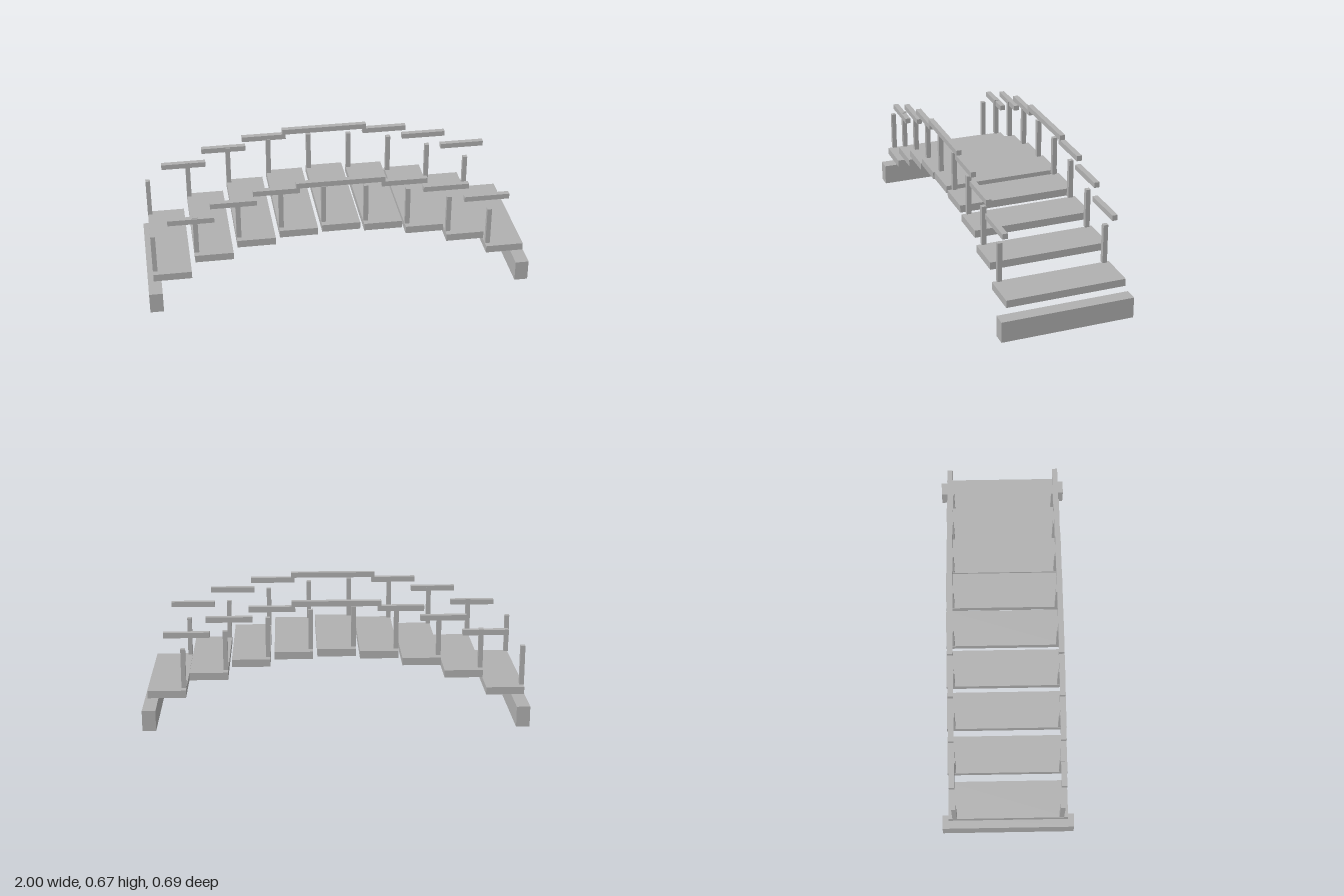
import * as THREE from 'three';

export function createModel() {
  const model = new THREE.Group();
  model.name = 'archedFootbridge';
  const grey = new THREE.MeshStandardMaterial({ color: 0xb0b0b0 });
  grey.name = 'plain grey';

  const addBox = (name, [w, h, d], x, bottom, z) => {
    const mesh = new THREE.Mesh(new THREE.BoxGeometry(w, h, d), grey);
    mesh.name = name;
    mesh.position.set(x, bottom + h / 2, z);
    model.add(mesh);
  };

  const spacing = 0.218;
  const deckTops = [0.422, 0.409, 0.37, 0.301, 0.206]; // from the crown outwards
  const railTops = [0.672, 0.645, 0.592, 0.512];

  // Ground beams under both ends
  for (const s of [-1, 1]) addBox('groundBeam', [0.07, 0.11, 0.69], s * 0.965, 0, 0);

  // Deck planks, each with a pair of posts near its right edge
  for (let i = -4; i <= 4; i++) {
    const top = deckTops[Math.abs(i)];
    addBox('deckPlank', [0.197, 0.039, 0.62], i * spacing, top - 0.039, 0);
    for (const s of [-1, 1]) {
      addBox('railPost', [0.024, 0.208, 0.024], i * spacing - 0.087, top + 0.007, s * 0.277);
    }
  }

  // Stepped handrail segments, mirrored about the crown and on both sides
  railTops.forEach((top, i) => {
    for (const sx of [-1, 1]) for (const sz of [-1, 1]) {
      addBox('handrail', [0.236, 0.028, 0.028], sx * (i + 0.5) * spacing, top - 0.028, sz * 0.283);
    }
  });

  return model;
}
